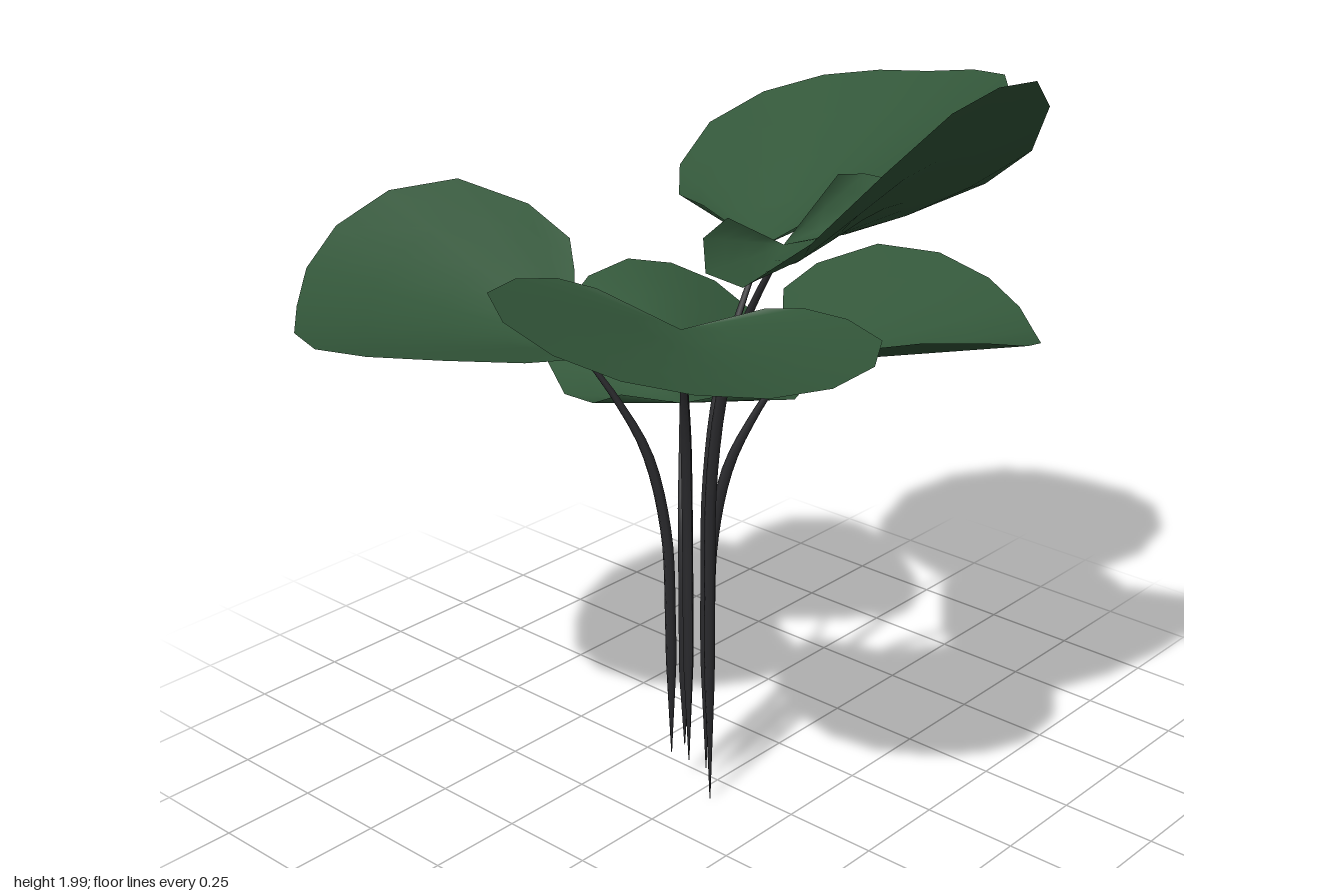
import * as THREE from 'three';

const leafMaterial = new THREE.MeshStandardMaterial({ color: 0x33573a, side: THREE.DoubleSide });
const stemMaterial = new THREE.MeshStandardMaterial({ color: 0x2b2b2e });

// Half of the leaf outline as [side, forward], from the stalk notch to the tip
const half = [[0.45, 0], [0.66, 0.015], [0.87, 0.17], [1, 0.44], [0.91, 0.7], [0.67, 0.89], [0.35, 0.985]];
const rim = [...half, [0, 1], ...half.map(([s, f]) => [-s, f]).reverse()];
const RINGS = 4;

// Each leaf: heading in degrees, stalk foot, leaf base, length, half width, and its bend:
// rise and curl along the leaf, roll, twist and cup across it, notch lifts the edges beside the stalk
const leaves = [
  { name: 'frontLeaf', heading: 90, foot: [-0.08, 0.01, 0.045], base: [-0.08, 1.55, 0.27], length: 0.56, width: 0.425, rise: 0.2, curl: 1.08, roll: -0.04, twist: 0, cup: -0.42, notch: 0.13 },
  { name: 'leftLeaf', heading: 0, foot: [0, 0.03, -0.04], base: [0.21, 1.41, -0.04], length: 0.66, width: 0.43, rise: 0.48, curl: 0, roll: 0.16, twist: 0, cup: 0.45, notch: 0.08 },
  { name: 'backLeftLeaf', heading: -45, foot: [-0.06, 0.12, -0.06], base: [0.09, 0.99, -0.2], length: 0.59, width: 0.34, rise: 0.3, curl: 0, roll: 0, twist: -0.5, cup: -1, notch: 0.05 },
  { name: 'backRightLeaf', heading: 225, foot: [-0.11, 0.12, -0.06], base: [-0.26, 1.24, -0.22], length: 0.65, width: 0.42, rise: 0.17, curl: 0, roll: 0.2, twist: 0, cup: 0.8, notch: 0.06 },
  { name: 'frontRightLeaf', heading: 135, foot: [-0.11, 0.12, 0], base: [-0.26, 1.36, 0.12], length: 0.65, width: 0.42, rise: 0.15, curl: 0, roll: 0.15, twist: 0, cup: 0.4, notch: 0.06 },
  { name: 'frontLeftLeaf', heading: 45, foot: [-0.03, 0.14, 0], base: [0.1, 1.18, 0.14], length: 0.59, width: 0.385, rise: 0.12, curl: 0, roll: 0.02, twist: 0, cup: 0.9, notch: 0.05 },
];

// Fan-shaped blade with ribs spreading from the stalk to the rim
function makeBlade({ heading, base, length, width, rise, curl, roll, twist, cup, notch }) {
  const a = THREE.MathUtils.degToRad(heading), c = Math.cos(a), n = Math.sin(a);
  const positions = [...base], index = [], count = rim.length;
  for (let r = 1; r <= RINGS; r++) {
    const t = r / RINGS;
    for (const [side, forward] of rim) {
      const s = side * width, f = forward * length;
      const rib = rise * f + roll * s + twist * s * f + cup * s * s + notch * (1 - forward) ** 2;
      const h = t * rib + t * t * curl * f * f;
      positions.push(base[0] + t * (c * f - n * s), base[1] + h, base[2] + t * (n * f + c * s));
    }
  }
  for (let i = 0; i < count - 1; i++) {
    index.push(0, 1 + i, 2 + i);
    for (let r = 0; r < RINGS - 1; r++) {
      const p = 1 + r * count + i, q = p + count;
      index.push(p, q, q + 1, p, q + 1, p + 1);
    }
  }
  const geometry = new THREE.BufferGeometry();
  geometry.setAttribute('position', new THREE.Float32BufferAttribute(positions, 3));
  geometry.setIndex(index);
  geometry.computeVertexNormals();
  return new THREE.Mesh(geometry, leafMaterial);
}

// Upright stalk that bows out to the leaf and tapers at both ends
function makeStalk({ foot, base }) {
  const at = (out, up) => new THREE.Vector3(
    THREE.MathUtils.lerp(foot[0], base[0], out),
    base[1] * up,
    THREE.MathUtils.lerp(foot[2], base[2], out));
  const path = new THREE.CatmullRomCurve3([
    new THREE.Vector3(...foot), at(0, 0.4), at(0.04, 0.6), at(0.24, 0.77), at(0.55, 0.88), at(1, 1)]);
  const segments = 24, sides = 6, radius = 0.014;
  const geometry = new THREE.TubeGeometry(path, segments, radius, sides);
  const p = geometry.attributes.position, v = new THREE.Vector3();
  for (let i = 0; i < p.count; i++) {
    const t = Math.floor(i / (sides + 1)) / segments;
    const centre = path.getPointAt(t);
    const scale = Math.min(1, 0.08 + t * 4, 0.4 + (1 - t) * 2);
    v.fromBufferAttribute(p, i).sub(centre).multiplyScalar(scale).add(centre);
    p.setXYZ(i, v.x, v.y, v.z);
  }
  geometry.computeVertexNormals();
  return new THREE.Mesh(geometry, stemMaterial);
}

export function createModel() {
  const model = new THREE.Group();
  model.name = 'leafyPlant';
  for (const leaf of leaves) {
    const group = new THREE.Group();
    group.name = leaf.name;
    const blade = makeBlade(leaf), stalk = makeStalk(leaf);
    blade.name = 'blade';
    stalk.name = 'stalk';
    group.add(blade, stalk);
    model.add(group);
  }
  return model;
}
